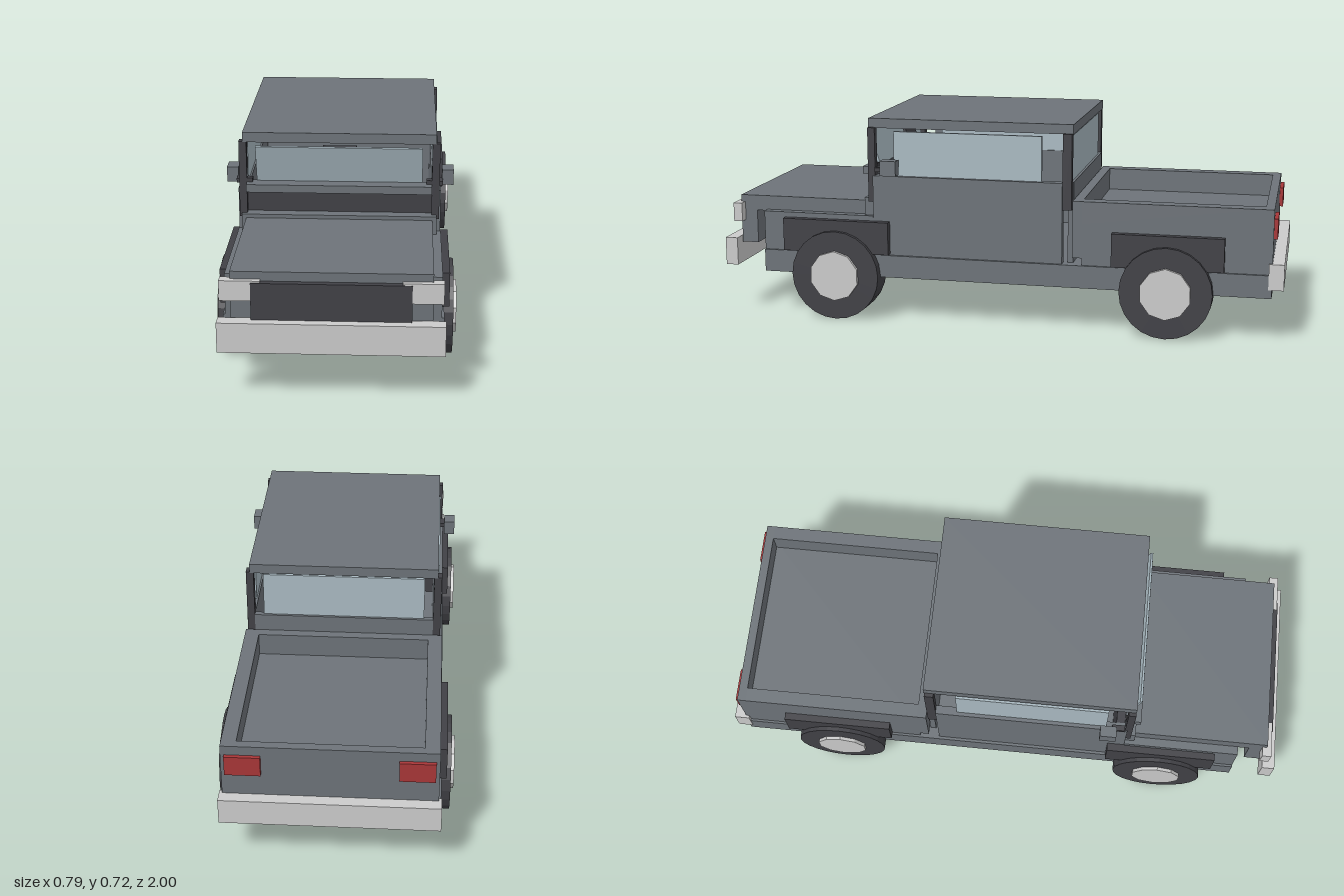
import * as THREE from 'three';

const paint = (color) => new THREE.MeshStandardMaterial({ color, flatShading: true });

export function createModel() {
  const truck = new THREE.Group();
  truck.name = 'pickupTruck';
  const body = paint(0x6d7379), dark = paint(0x414146), light = paint(0xcccccc);
  const glass = paint(0xaabac2), red = paint(0xa83638), lamp = paint(0xe4e4e4);

  // Box given by its limits on each axis
  function box(name, mat, [x0, x1], [y0, y1], [z0, z1]) {
    const mesh = new THREE.Mesh(new THREE.BoxGeometry(x1 - x0, y1 - y0, z1 - z0), mat);
    mesh.position.set((x0 + x1) / 2, (y0 + y1) / 2, (z0 + z1) / 2);
    mesh.name = name;
    truck.add(mesh);
    return mesh;
  }
  // Box centred on x = 0
  const mid = (name, mat, w, y, z) => box(name, mat, [-w, w], y, z);
  // Mirrored pair of boxes
  function pair(name, mat, [x0, x1], y, z) {
    box(name + 'Left', mat, [x0, x1], y, z);
    box(name + 'Right', mat, [-x1, -x0], y, z);
  }

  // Chassis and nose
  mid('chassis', body, 0.353, [0.155, 0.235], [-0.96, 0.85]);
  mid('engineBay', body, 0.345, [0.235, 0.375], [0.44, 0.85]);
  mid('hood', body, 0.315, [0.37, 0.425], [0.45, 0.95]);
  mid('noseSupport', body, 0.315, [0.25, 0.37], [0.89, 0.95]);
  mid('cowl', body, 0.33, [0.375, 0.438], [0.435, 0.475]);
  mid('grille', dark, 0.25, [0.25, 0.394], [0.95, 0.97]);
  pair('headlight', lamp, [0.22, 0.348], [0.333, 0.4], [0.935, 0.967]);
  mid('frontBumper', light, 0.355, [0.172, 0.272], [0.955, 1]);
  mid('rearBumper', light, 0.355, [0.185, 0.275], [-1, -0.948]);

  // Cab
  pair('door', body, [0.312, 0.343], [0.235, 0.52], [-0.24, 0.44]);
  mid('firewall', dark, 0.312, [0.235, 0.52], [0.4, 0.435]);
  mid('windshieldSill', body, 0.312, [0.52, 0.547], [0.43, 0.485]);
  pair('sillBracket', dark, [0.293, 0.312], [0.535, 0.56], [0.43, 0.455]);
  mid('cabBack', body, 0.312, [0.235, 0.52], [-0.275, -0.255]);
  mid('roof', body, 0.325, [0.688, 0.722], [-0.275, 0.458]);
  pair('frontPillar', dark, [0.312, 0.338], [0.425, 0.69], [0.432, 0.458]);
  pair('rearPillar', dark, [0.312, 0.338], [0.425, 0.69], [-0.272, -0.24]);
  pair('sideWindow', glass, [0.318, 0.33], [0.52, 0.678], [-0.165, 0.365]);
  mid('rearWindow', glass, 0.28, [0.52, 0.678], [-0.266, -0.256]);
  mid('windshield', glass, 0.28, [0.545, 0.681], [0.449, 0.457]).rotation.x = 0.29;
  mid('rearViewMirror', dark, 0.057, [0.61, 0.665], [0.4, 0.41]).rotation.x = 0.3;
  mid('sunVisor', dark, 0.057, [0.678, 0.688], [0.32, 0.4]);
  mid('domeLight', dark, 0.04, [0.678, 0.688], [-0.08, -0.03]);
  pair('sideMirror', body, [0.347, 0.386], [0.528, 0.581], [0.343, 0.4]);
  pair('mirrorArm', dark, [0.33, 0.35], [0.535, 0.55], [0.385, 0.43]);

  // Cargo bed
  mid('bedBase', body, 0.345, [0.235, 0.38], [-0.96, -0.31]);
  mid('bedFrontWall', body, 0.345, [0.26, 0.46], [-0.31, -0.277]);
  pair('bedSide', body, [0.296, 0.345], [0.38, 0.46], [-0.93, -0.31]);
  mid('tailgate', body, 0.345, [0.38, 0.46], [-0.96, -0.93]);
  pair('taillight', red, [0.218, 0.333], [0.357, 0.427], [-0.973, -0.955]);

  // Fenders and wheels
  for (const [end, z, f0, f1] of [['front', 0.575, 0.38, 0.77], ['rear', -0.605, -0.8, -0.415]]) {
    pair(end + 'Fender', dark, [0.34, 0.37], [0.24, 0.357], [f0, f1]);
    for (const side of [1, -1]) {
      const wheel = new THREE.Group();
      wheel.name = end + (side > 0 ? 'LeftWheel' : 'RightWheel');
      wheel.position.set(side * 0.335, 0.16, z);
      const disc = (name, mat, r, w, n, x) => {
        const geo = new THREE.CylinderGeometry(r, r, w, n).rotateY(Math.PI / 2).rotateZ(Math.PI / 2);
        const mesh = new THREE.Mesh(geo, mat);
        mesh.name = name;
        mesh.position.x = x;
        wheel.add(mesh);
      };
      disc('tyre', dark, 0.16, 0.1, 24, 0);
      disc('hubcap', light, 0.09, 0.03, 10, side * 0.047);
      truck.add(wheel);
    }
  }
  return truck;
}
